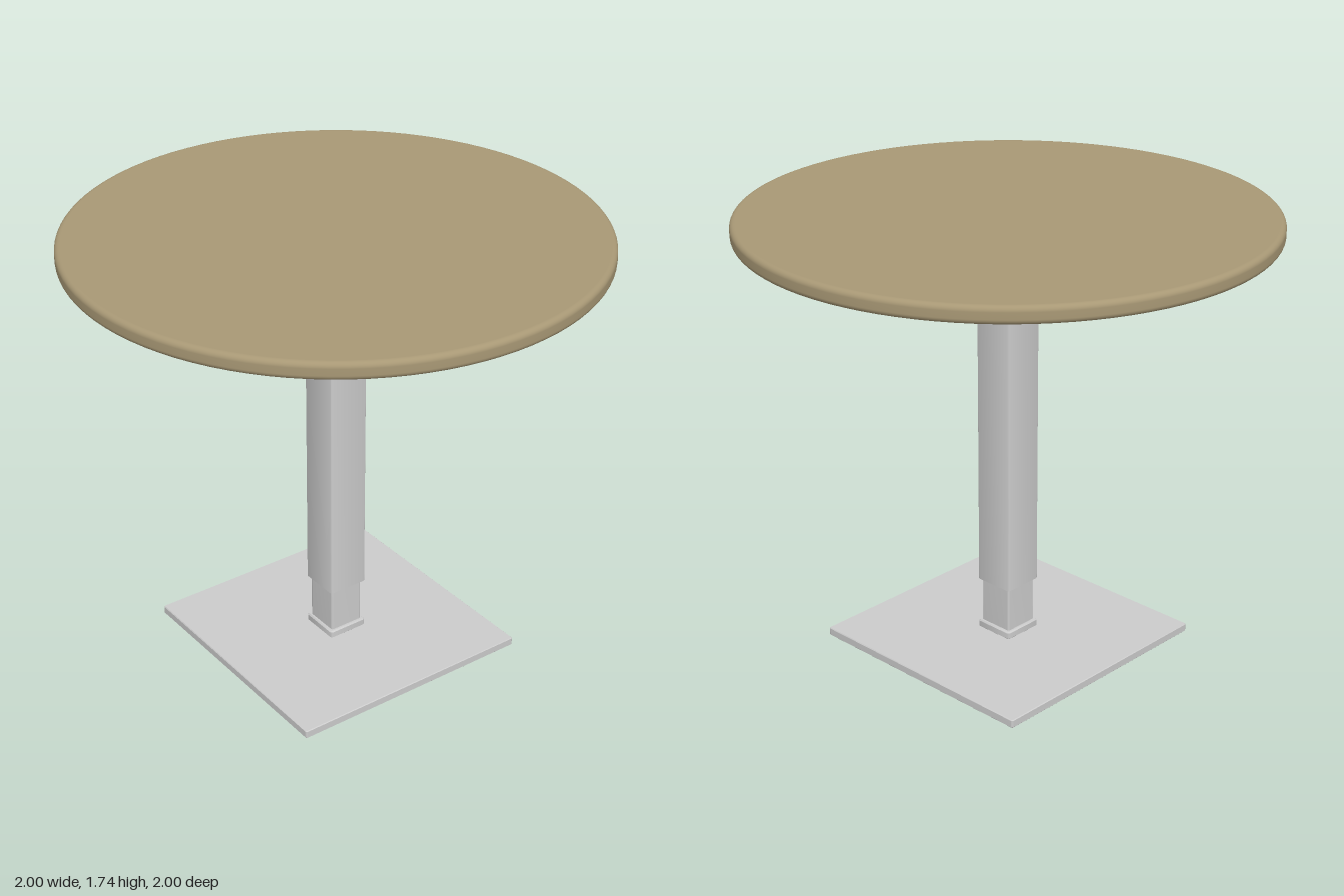
import * as THREE from 'three';
import { toCreasedNormals } from 'three/addons/utils/BufferGeometryUtils.js';

const grey = new THREE.MeshStandardMaterial({ color: 0xcccccc });
const wood = new THREE.MeshStandardMaterial({ color: 0xa89875 });

// Upright square block with rounded vertical corners and an optional bevelled rim
function squareBlock(name, half, y0, y1, radius, bevel = 0) {
  const h = half - bevel, r = radius;
  const shape = new THREE.Shape();
  shape.absarc(h - r, h - r, r, 0, Math.PI / 2);
  shape.absarc(r - h, h - r, r, Math.PI / 2, Math.PI);
  shape.absarc(r - h, r - h, r, Math.PI, Math.PI * 1.5);
  shape.absarc(h - r, r - h, r, Math.PI * 1.5, Math.PI * 2);
  shape.closePath();
  const geometry = new THREE.ExtrudeGeometry(shape, {
    depth: y1 - y0 - 2 * bevel,
    curveSegments: 4,
    bevelEnabled: bevel > 0,
    bevelSize: bevel,
    bevelThickness: bevel,
    bevelSegments: 1,
  });
  geometry.rotateX(-Math.PI / 2);
  geometry.translate(0, y0 + bevel, 0);
  const mesh = new THREE.Mesh(toCreasedNormals(geometry, 0.6), grey);
  mesh.name = name;
  return mesh;
}

// Round top with softened upper and lower edges
function tabletop(radius, y0, y1, round) {
  const points = [new THREE.Vector2(0, y0), new THREE.Vector2(radius - round - 0.002, y0)];
  const corner = (cy, start) => {
    for (let i = 0; i <= 6; i++) {
      const a = start + (i / 6) * Math.PI / 2;
      points.push(new THREE.Vector2(radius - round + round * Math.cos(a), cy + round * Math.sin(a)));
    }
  };
  corner(y0 + round, -Math.PI / 2);
  corner(y1 - round, 0);
  points.push(new THREE.Vector2(radius - round - 0.002, y1), new THREE.Vector2(0, y1));
  const mesh = new THREE.Mesh(new THREE.LatheGeometry(points, 96), wood);
  mesh.name = 'tabletop';
  return mesh;
}

export function createModel() {
  const table = new THREE.Group();
  table.name = 'pedestalTable';
  table.add(
    squareBlock('basePlate', 0.5, 0, 0.033, 0.004, 0.003),
    squareBlock('collar', 0.082, 0.03, 0.063, 0.004, 0.005),
    squareBlock('innerColumn', 0.07, 0.05, 0.3, 0.007),
    squareBlock('outerColumn', 0.082, 0.245, 1.675, 0.008),
    tabletop(1, 1.67, 1.735, 0.02),
  );
  return table;
}
